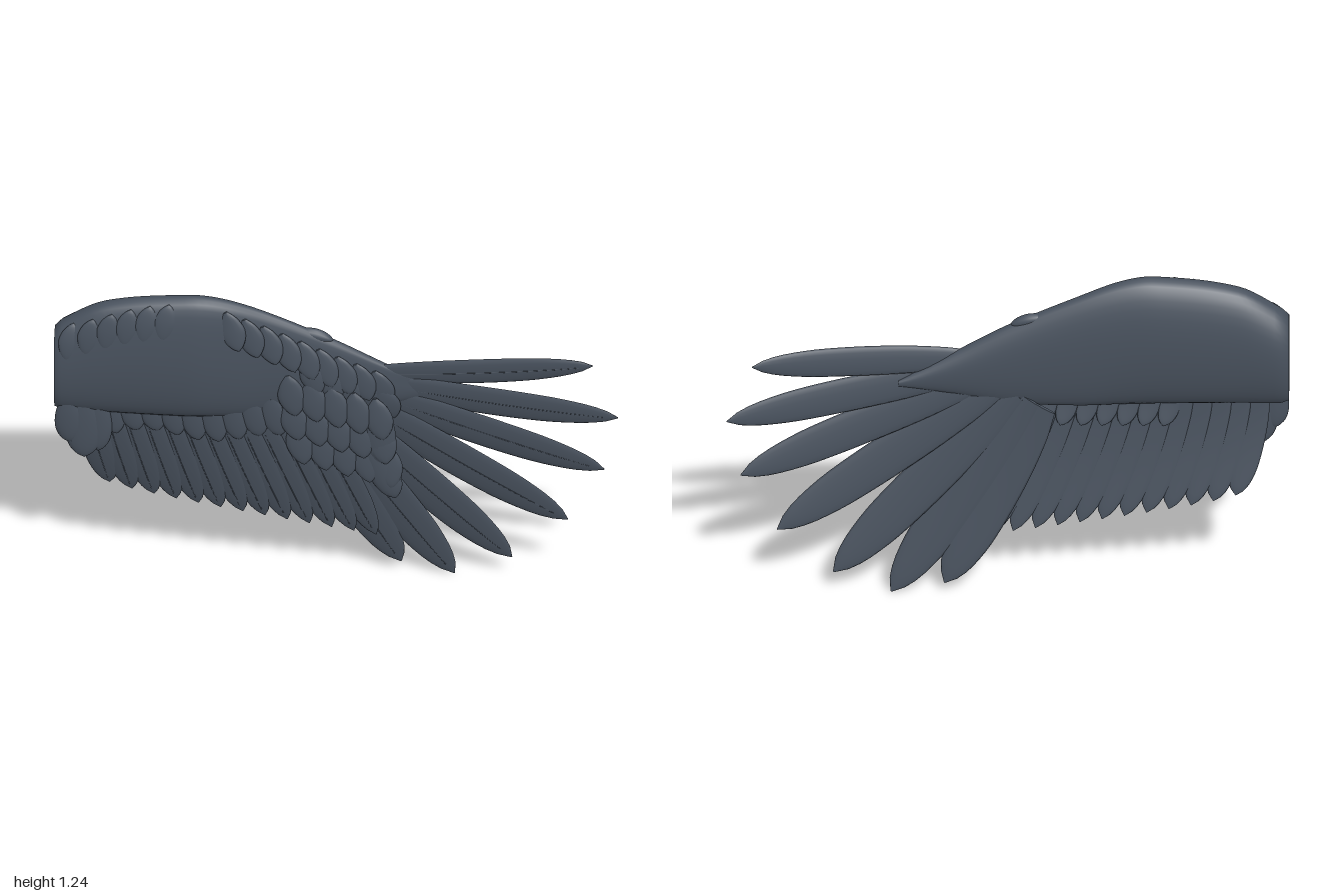
import * as THREE from 'three';

const material = new THREE.MeshStandardMaterial({ color: 0x48515d });

// Smooth interpolation through rows of [position, value, value, ...]
function sample(rows, p) {
  let i = 0;
  while (i < rows.length - 2 && p > rows[i + 1][0]) i++;
  const a = rows[i], b = rows[i + 1];
  const prev = rows[Math.max(i - 1, 0)], next = rows[Math.min(i + 2, rows.length - 1)];
  const len = b[0] - a[0];
  const t = THREE.MathUtils.clamp((p - a[0]) / len, 0, 1);
  return a.slice(1).map((va, k) => {
    const vb = b[k + 1];
    const ma = (vb - prev[k + 1]) / (b[0] - prev[0]) * len;
    const mb = (next[k + 1] - va) / (next[0] - a[0]) * len;
    const t2 = t * t, t3 = t2 * t;
    return va * (2 * t3 - 3 * t2 + 1) + ma * (t3 - 2 * t2 + t) + vb * (3 * t2 - 2 * t3) + mb * (t3 - t2);
  });
}

// Closed skin over rings of points, with a flat cap at each end
function loft(name, rings) {
  const n = rings[0].length, pos = [], index = [];
  rings.forEach(r => r.forEach(v => pos.push(v.x, v.y, v.z)));
  for (let i = 0; i < rings.length - 1; i++) {
    for (let j = 0; j < n; j++) {
      const k = (j + 1) % n, a = i * n + j, b = i * n + k;
      index.push(a, b, b + n, a, b + n, a + n);
    }
  }
  [rings[0], rings[rings.length - 1]].forEach((ring, end) => {
    const start = pos.length / 3;
    const mid = ring.reduce((s, v) => s.add(v), new THREE.Vector3()).divideScalar(n);
    [mid, ...ring].forEach(v => pos.push(v.x, v.y, v.z));
    for (let j = 0; j < n; j++) {
      const a = start + 1 + j, b = start + 1 + (j + 1) % n;
      end ? index.push(start, a, b) : index.push(start, b, a);
    }
  });
  const g = new THREE.BufferGeometry();
  g.setAttribute('position', new THREE.Float32BufferAttribute(pos, 3));
  g.setIndex(index);
  g.computeVertexNormals();
  const mesh = new THREE.Mesh(g, material);
  mesh.name = name;
  return mesh;
}

// Wing arm sections: x, top y, bottom y, front z, back z
const ARM = [
  [-1, 1.09, 0.75, 0.095, -0.045],
  [-0.97, 1.12, 0.74, 0.1, -0.055],
  [-0.82, 1.205, 0.735, 0.105, -0.052],
  [-0.52, 1.245, 0.73, 0.105, -0.048],
  [-0.4, 1.23, 0.73, 0.088, -0.046],
  [-0.25, 1.175, 0.73, 0.06, -0.045],
  [0, 1.06, 0.745, 0.04, -0.042],
  [0.18, 0.96, 0.785, 0.018, -0.04],
  [0.3, 0.895, 0.81, -0.004, -0.037],
  [0.39, 0.85, 0.825, -0.018, -0.034],
];

function armRing(x, scale) {
  const [top, bottom, front, back] = sample(ARM, x);
  return Array.from({ length: 36 }, (_, j) => {
    const a = j / 36 * Math.PI * 2, c = Math.cos(a), s = Math.sin(a);
    const z = (front + back) / 2 + scale * (front - back) / 2 * Math.sign(s) * Math.abs(s) ** 0.85;
    // the upper edge leans forward
    return new THREE.Vector3(x, (top + bottom) / 2 + scale * (top - bottom) / 2 * c, z + 0.012 * scale * Math.max(c, 0) ** 3);
  });
}

function buildArm() {
  // softly closed root, then the arm itself
  const rings = [0.05, 0.5, 0.85].map(scale => armRing(-1, scale));
  for (let i = 0; i <= 54; i++) rings.push(armRing(-1 + 1.39 * i / 54, 1));
  return loft('wingArm', rings);
}

// Height of the arm's front surface
function armFront(x, y) {
  const [top, bottom, front, back] = sample(ARM, x);
  const c = THREE.MathUtils.clamp((2 * y - top - bottom) / (top - bottom), -1, 1);
  return (front + back) / 2 + (front - back) / 2 * (1 - c * c) ** 0.425 + 0.012 * Math.max(c, 0) ** 3;
}

// Half-width profiles along a feather
const BLADE = [[0, 0.5], [0.15, 0.8], [0.4, 1], [0.7, 0.97], [0.86, 0.74], [0.95, 0.42], [1, 0.03]];
const SCALE = [[0, 0.65], [0.3, 0.95], [0.6, 1], [0.82, 0.78], [0.94, 0.42], [1, 0.04]];
const LEAF = [[0, 0.15], [0.2, 0.68], [0.5, 1], [0.75, 0.82], [0.92, 0.42], [1, 0.04]];

// A lens-section feather from base to tip, bending in z towards the tip
function feather(name, base, tip, half, { thick = 0.008, roll = 0, outline = BLADE, shaft = false } = {}) {
  const a = new THREE.Vector3(...base), b = new THREE.Vector3(...tip);
  const dir = new THREE.Vector3(b.x - a.x, b.y - a.y, 0).normalize();
  const side = new THREE.Vector3(-dir.y, dir.x, 0).applyAxisAngle(dir, roll);
  const normal = dir.clone().cross(side);
  const spine = t => {
    const p = a.clone().lerp(b, t);
    p.z = a.z + (b.z - a.z) * t ** 1.6;
    return p;
  };
  const rings = [];
  for (let i = 0; i <= 22; i++) {
    const t = i / 22, [w] = sample(outline, t);
    rings.push(Array.from({ length: 14 }, (_, j) => {
      const q = j / 14 * Math.PI * 2;
      return spine(t).addScaledVector(side, half * w * Math.cos(q))
        .addScaledVector(normal, thick * Math.sqrt(w) * Math.sin(q));
    }));
  }
  const group = new THREE.Group();
  group.name = name;
  group.add(loft('vane', rings));
  if (shaft) {
    const pts = [0.1, 0.35, 0.6, 0.8, 0.94].map(t =>
      spine(t).addScaledVector(normal, thick * Math.sqrt(sample(outline, t)[0]) - 0.001));
    const tube = new THREE.TubeGeometry(new THREE.CatmullRomCurve3(pts), 16, 0.002, 5);
    const mesh = new THREE.Mesh(tube, material);
    mesh.name = 'shaft';
    group.add(mesh);
  }
  return group;
}

export function createModel() {
  const wing = new THREE.Group();
  wing.name = 'wing';
  const add = (...args) => wing.add(feather(...args));
  wing.add(buildArm());

  // Long flight feathers fanned out from the wrist: base x, y, tip x, y, z, half width
  [
    [0.1, 0.925, 0.91, 0.935, -0.08, 0.056],
    [0.08, 0.89, 1, 0.71, -0.088, 0.064],
    [0.06, 0.86, 0.95, 0.485, -0.09, 0.07],
    [0.02, 0.83, 0.82, 0.26, -0.095, 0.077],
    [-0.03, 0.79, 0.62, 0.085, -0.1, 0.082],
    [-0.08, 0.77, 0.415, 0.005, -0.102, 0.084],
    [-0.13, 0.74, 0.225, 0.045, -0.105, 0.084],
  ].forEach(([bx, by, x, y, z, half], i) =>
    add('primaryFeather', [bx, by, 0.002 - i * 0.006], [x, y, z], half, { thick: 0.011, roll: 0.15, shaft: true }));

  // Trailing row of flight feathers
  for (let i = 0; i < 13; i++) {
    const f = i / 12;
    add('secondaryFeather', [-0.9 + 0.8 * f, 0.8, 0.032],
      [-0.81 + 0.95 * f, 0.38 - 0.18 * f ** 0.8, -0.04], 0.058, { roll: 0.14, shaft: true });
  }

  // Short coverts under the arm, with a few tips showing at the back
  const scale = { thick: 0.012, outline: SCALE };
  for (let i = 0; i < 10; i++) {
    const x = -0.82 + i * 0.073;
    add('underCovert', [x, 0.82, 0.04], [x + 0.04, 0.64 + 0.02 * Math.sin(i), 0.032], 0.044, scale);
    if (i > 2) add('backCovert', [x, 0.78, 0.03], [x + 0.05, 0.645, 0.002], 0.036, { thick: 0.006, outline: SCALE });
  }

  // Three large coverts at the root
  [[-0.845, 0.57, 0.05, 0.05], [-0.895, 0.545, 0.056, 0.065], [-0.945, 0.61, 0.06, 0.052]].forEach(([x, y, z, half]) =>
    add('rootCovert', [x - 0.003, 0.79, z], [x, y, z - 0.008], half, { thick: 0.018, outline: SCALE }));

  // Small upright scales along the shoulder
  for (let i = 0; i < 6; i++) {
    const x = -0.94 + i * 0.068, y = 0.98 + 0.1 * Math.sin(i * 0.28);
    add('shoulderScale', [x - 0.015, y, armFront(x, y) - 0.008],
      [x + 0.01, y + 0.15, armFront(x, y + 0.15) + 0.006], 0.042, { thick: 0.01, outline: LEAF });
  }

  // Two rows of scales sloping down the leading edge to the wrist
  for (let row = 0; row < 2; row++) {
    for (let i = row * 4; i < 9; i++) {
      const x = -0.39 + i * 0.066 + row * 0.02, y = 1.2 - i * 0.032 - row * 0.065;
      add('leadingEdgeScale', [x, y, armFront(x, y) + 0.002],
        [x + 0.05, y - 0.15, armFront(x + 0.05, y - 0.15) + 0.012 - row * 0.004], 0.046,
        { thick: 0.012, outline: LEAF });
    }
  }
  add('edgeScale', [-0.14, 1.1, 0.01], [-0.01, 1.065, 0.012], 0.025, { thick: 0.02, outline: LEAF });

  // Overlapping wrist coverts: rows of first x, y, count, length, half width, z
  [
    [-0.17, 0.93, 5, 0.17, 0.05, 0.05],
    [-0.16, 0.82, 5, 0.17, 0.052, 0.041],
    [-0.14, 0.73, 5, 0.19, 0.052, 0.031],
  ].forEach(([x0, y0, count, length, half, z]) => {
    for (let i = 0; i < count; i++) {
      const x = x0 + i * 0.078, y = y0 - i * 0.022;
      add('wristCovert', [x, y, z - i * 0.001], [x + 0.03, y - length, z + 0.004], half,
        { thick: 0.014, outline: LEAF });
    }
  });

  // Larger coverts closing the outer corner
  [[0.15, 0.8, 0.17, 0.55, 0.04], [0.12, 0.65, 0.215, 0.405, 0.03]].forEach(([bx, by, x, y, z]) =>
    add('outerCovert', [bx, by, z], [x, y, z - 0.006], 0.056, { thick: 0.017, outline: SCALE }));

  return wing;
}
